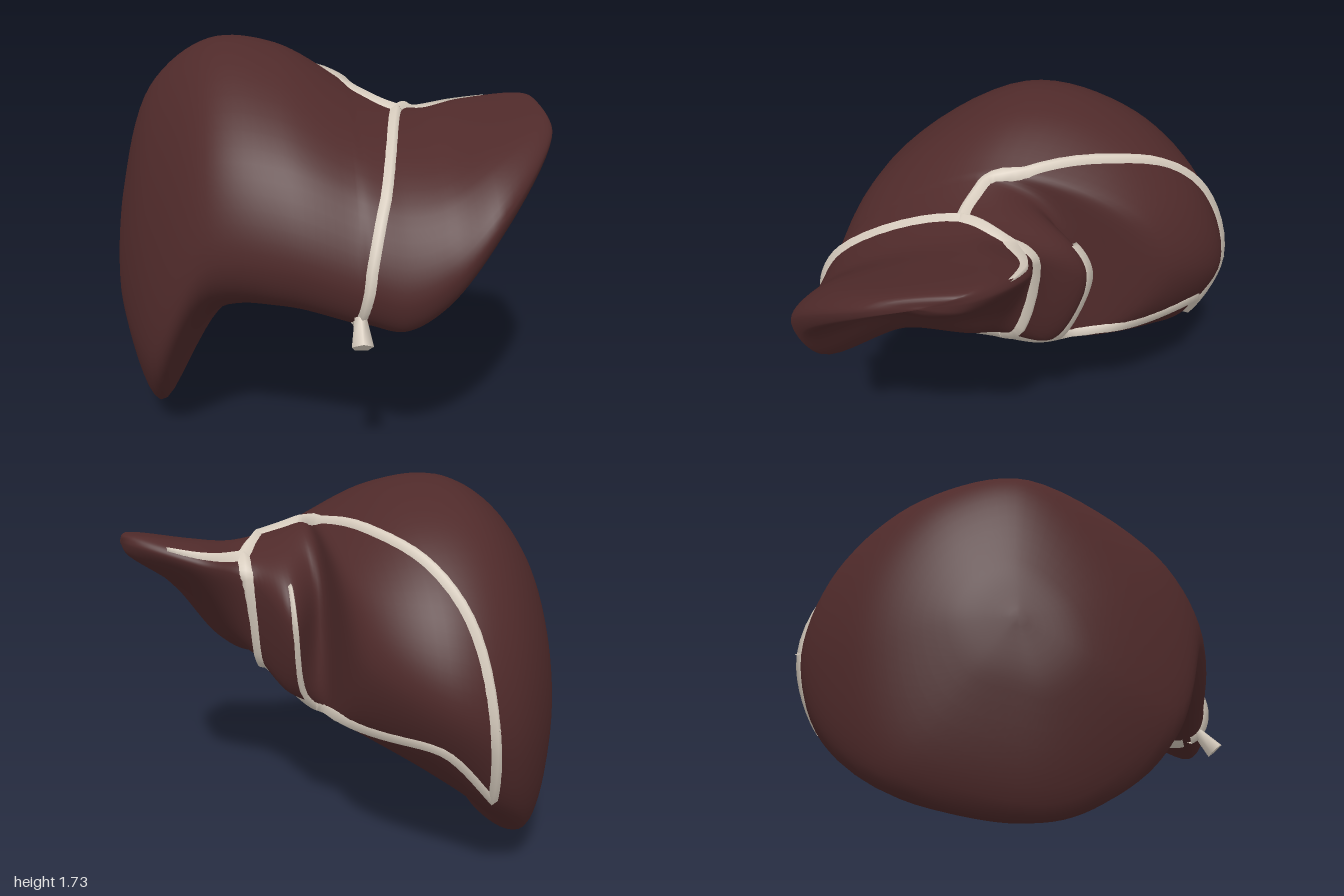
import * as THREE from 'three';
import { mergeVertices } from 'three/addons/utils/BufferGeometryUtils.js';

// Cross-sections from right lobe to left lobe:
// x, then z,y of the front margin, top, back, lower back and underside
const sections = [
  [-0.92, 0.16, 0.5, -0.06, 1.02, -0.34, 0.73, -0.25, 0.52, -0.07, 0.45],
  [-0.77, 0.43, 0.22, -0.02, 1.5, -0.7, 0.66, -0.56, 0.17, -0.15, 0.01],
  [-0.5, 0.66, 0.72, 0.02, 1.71, -0.94, 0.74, -0.8, 0.38, -0.35, 0.3],
  [-0.2, 0.77, 0.75, 0.08, 1.69, -0.93, 0.88, -0.62, 0.55, -0.1, 0.62],
  [0.08, 0.83, 0.69, 0.19, 1.54, -0.66, 1.04, -0.45, 0.72, -0.1, 0.67],
  [0.13, 0.85, 0.69, 0.2, 1.51, -0.2, 1.1, -0.2, 0.72, 0, 0.69],
  [0.27, 0.88, 0.67, 0.23, 1.45, -0.3, 1.12, -0.14, 0.78, 0.1, 0.82],
  [0.43, 0.89, 0.77, 0.22, 1.42, -0.08, 1.3, 0.02, 1.02, 0.15, 0.93],
  [0.64, 0.86, 1.05, 0.12, 1.45, -0.07, 1.37, 0.03, 1.26, 0.26, 1.16],
  [0.915, 0.53, 1.35, 0.14, 1.48, 0.11, 1.44, 0.15, 1.39, 0.28, 1.37],
];
const RING = 10;
const SPANS = sections.length + 1;

// Fill a section out to a ring: rounded front lip, domed front and back,
// underside swelling on the right lobe and hollowing towards the left
function ringOf([x, mz, my, tz, ty, bz, by, hz, hy, uz, uy]) {
  const h = ty - my;
  const fz = mz + 0.1 * h, fy = my + 0.2 * h;
  const dome = (ez, ey, out, up) => [tz + (ez - tz) * out, ey + (ty - ey) * up];
  const hollow = 0.17 * (x + 0.35) * h;
  return [
    [mz, my], [fz, fy], dome(fz, fy, 0.78, 0.54), [tz, ty], dome(bz, by, 0.54, 0.86),
    dome(bz, by, 0.89, 0.48), [bz, by], [hz, hy], [uz, uy], [(uz + mz) / 2, (uy + my) / 2 + hollow],
  ].map(([z, y]) => new THREE.Vector3(x, y, z));
}

// One spline along the body for every ring point, closed by a pole at each end
const rings = sections.map(ringOf);
const rightPole = new THREE.Vector3(-0.95, 0.75, -0.07);
const leftPole = new THREE.Vector3(0.945, 1.42, 0.31);
const rails = rings[0].map((_, k) => new THREE.CatmullRomCurve3([rightPole, ...rings.map((r) => r[k]), leftPole]));

// u counts sections along the body, v counts ring points around it
const ringCurve = (u) => new THREE.CatmullRomCurve3(rails.map((r) => r.getPoint(u / SPANS)), true);
const surface = (u, v) => ringCurve(u).getPoint(v / RING);

function buildGeometry(positions, index) {
  const g = new THREE.BufferGeometry();
  g.setAttribute('position', new THREE.Float32BufferAttribute(positions, 3));
  g.setIndex(index);
  return g;
}

function bodyGeometry() {
  const rows = SPANS * 8, cols = 80, positions = [], index = [];
  for (let i = 0; i <= rows; i++) {
    const ring = ringCurve((i / rows) * SPANS);
    for (let j = 0; j < cols; j++) {
      positions.push(...ring.getPoint(j / cols).toArray());
      if (i === rows) continue;
      const a = i * cols + j, b = i * cols + (j + 1) % cols;
      index.push(a, a + cols, b, b, a + cols, b + cols);
    }
  }
  const g = mergeVertices(buildGeometry(positions, index), 1e-5);
  g.computeVertexNormals();
  return g;
}

// Tent-shaped band following a path of (u, v) points on the body
function bandGeometry(path, startWidth, endWidth) {
  const curve = new THREE.SplineCurve(path.map(([u, v]) => new THREE.Vector2(u, v)));
  const steps = path.length * 6, e = 0.02, positions = [], index = [];
  const at = (t) => { const c = curve.getPoint(t); return surface(c.x, c.y); };
  for (let i = 0; i <= steps; i++) {
    const t = i / steps, { x: u, y: v } = curve.getPoint(t);
    const along = at(Math.min(t + e, 1)).sub(at(Math.max(t - e, 0)));
    const du = surface(u + e, v).sub(surface(u - e, v));
    const dv = surface(u, v + e).sub(surface(u, v - e));
    const normal = du.cross(dv).normalize();
    const side = along.cross(normal).normalize();
    const width = THREE.MathUtils.lerp(startWidth, endWidth, t);
    for (const s of [-1, 0, 1]) {
      const lift = s === 0 ? 0.024 : -0.008;
      positions.push(...surface(u, v).addScaledVector(side, s * width).addScaledVector(normal, lift).toArray());
    }
    if (i === steps) continue;
    for (const a of [i * 3, i * 3 + 1]) index.push(a, a + 1, a + 3, a + 1, a + 4, a + 3);
  }
  const g = buildGeometry(positions, index);
  g.computeVertexNormals();
  return g;
}

export function createModel() {
  const group = new THREE.Group();
  const tissue = new THREE.MeshStandardMaterial({ color: 0x4f2a2a });
  tissue.name = 'liverBrown';
  const pale = new THREE.MeshStandardMaterial({ color: 0xd8cdbf, side: THREE.DoubleSide });
  pale.name = 'ligamentCream';
  const add = (name, geometry, material) => {
    const mesh = new THREE.Mesh(geometry, material);
    mesh.name = name;
    group.add(mesh);
    return mesh;
  };

  add('liverBody', bodyGeometry(), tissue);

  // Ligament bands: name, half width at start and end, path
  const apex = [7.3, 3], edge = [8, 4.4], hilum = [7.35, 7.8], corner = [3.2, 6.8], cava = [6, 7.2];
  const bands = [
    ['falciformLigament', 0.026, 0.032, [[5, 0], [5.8, 1], [6.5, 2], apex]],
    ['upperCoronaryLigament', 0.036, 0.026, [apex, [6.5, 3.1], [5, 3.45], [4.25, 4.2], [3.67, 4.95], [3.4, 6], corner]],
    ['lowerCoronaryLigament', 0.024, 0.036, [corner, [4, 6.4], [4.9, 6.9], cava]],
    ['leftCoronaryLigament', 0.035, 0.045, [apex, [7.7, 3.6], edge]],
    ['leftTriangularLigament', 0.055, 0.008, [edge, [8.6, 4.8], [9.4, 5]]],
    ['venousLigament', 0.045, 0.034, [edge, [7.95, 6.2], hilum]],
    ['roundLigament', 0.03, 0.034, [hilum, [6.4, 9], [5.1, 9.9]]],
    ['hilumBand', 0.034, 0.034, [hilum, [6.6, 7.6], cava]],
    ['gallbladderBand', 0.026, 0.02, [hilum, [5.5, 8.1], [4, 8.2]]],
    ['caudateBand', 0.012, 0.02, [[7, 4.9], [6.95, 6], [6.6, 6.8], cava]],
  ];
  for (const [name, startWidth, endWidth, path] of bands) add(name, bandGeometry(path, startWidth, endWidth), pale);

  // Loose cut ends of the ligaments
  const front = add('falciformEnd', new THREE.CylinderGeometry(0.025, 0.045, 0.12, 5), pale);
  front.position.set(0.09, 0.69, 0.92);
  front.rotation.x = -0.7;
  const back = add('coronaryEnd', new THREE.ConeGeometry(0.025, 0.08, 4), pale);
  back.position.set(-0.38, 0.85, -0.96);
  back.rotation.x = -Math.PI / 2;
  return group;
}
